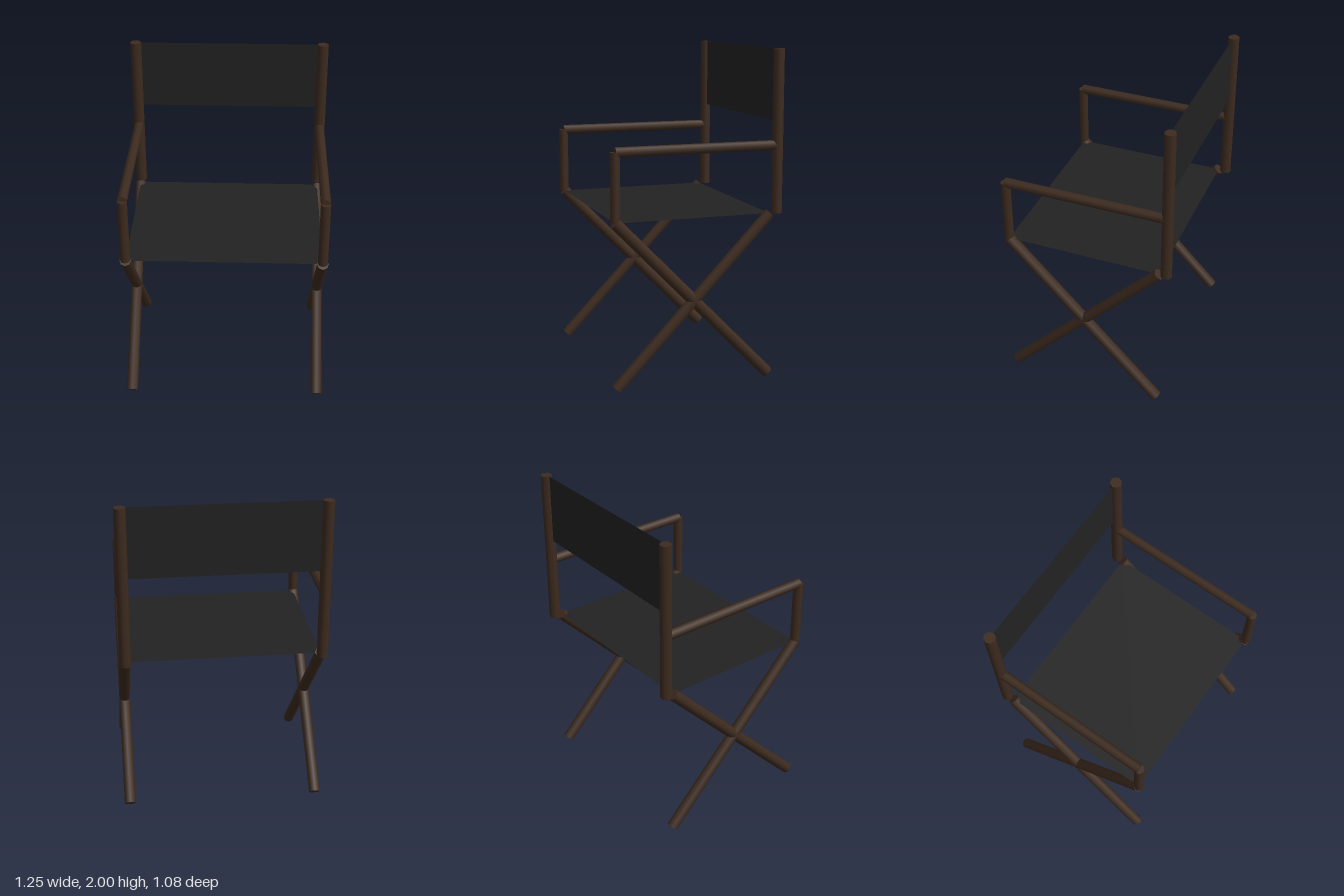
import * as THREE from 'three';

export function createModel() {
  const model = new THREE.Group();
  model.name = 'foldingChair';

  const wood = new THREE.MeshStandardMaterial({ color: 0x3d2b1f });
  wood.name = 'dark wood';
  const canvas = new THREE.MeshStandardMaterial({ color: 0x222222, side: THREE.DoubleSide });
  canvas.name = 'black canvas';

  const halfWidth = 0.59;
  const seatY = 1.02, armY = 1.43, topY = 2;
  const frontZ = 0.508, backZ = -0.502, legBackZ = -0.457;

  // Round pole between two points given as [y, z] in one side frame
  function pole(parent, name, [y0, z0], [y1, z1], radius) {
    const a = new THREE.Vector3(0, y0, z0);
    const b = new THREE.Vector3(0, y1, z1);
    const dir = b.clone().sub(a);
    const mesh = new THREE.Mesh(new THREE.CylinderGeometry(radius, radius, dir.length(), 8), wood);
    mesh.name = name;
    mesh.position.copy(a).add(b).multiplyScalar(0.5);
    mesh.quaternion.setFromUnitVectors(new THREE.Vector3(0, 1, 0), dir.normalize());
    parent.add(mesh);
  }

  // Side frames: crossed legs, front post, armrest and back post
  for (const [side, sign] of [['left', 1], ['right', -1]]) {
    const frame = new THREE.Group();
    frame.name = side + 'Frame';
    frame.position.x = sign * halfWidth;
    pole(frame, 'legToFront', [0.025, frontZ], [seatY, legBackZ], 0.035);
    pole(frame, 'legToBack', [0.025, legBackZ], [seatY, frontZ], 0.035);
    pole(frame, 'frontPost', [seatY, frontZ], [armY, frontZ], 0.03);
    pole(frame, 'armrest', [armY, frontZ], [armY, backZ], 0.03);
    pole(frame, 'backPost', [seatY, backZ], [topY, backZ], 0.035);
    model.add(frame);
  }

  // Canvas seat stretched between the leg tops
  const seat = new THREE.Mesh(new THREE.PlaneGeometry(halfWidth * 2, frontZ - legBackZ), canvas);
  seat.name = 'seat';
  seat.rotation.x = -Math.PI / 2;
  seat.position.set(0, seatY, (frontZ + legBackZ) / 2);
  model.add(seat);

  // Canvas backrest between the back posts
  const backBottom = 1.57;
  const backrest = new THREE.Mesh(new THREE.PlaneGeometry(halfWidth * 2, topY - backBottom), canvas);
  backrest.name = 'backrest';
  backrest.position.set(0, (topY + backBottom) / 2, backZ);
  model.add(backrest);

  return model;
}
